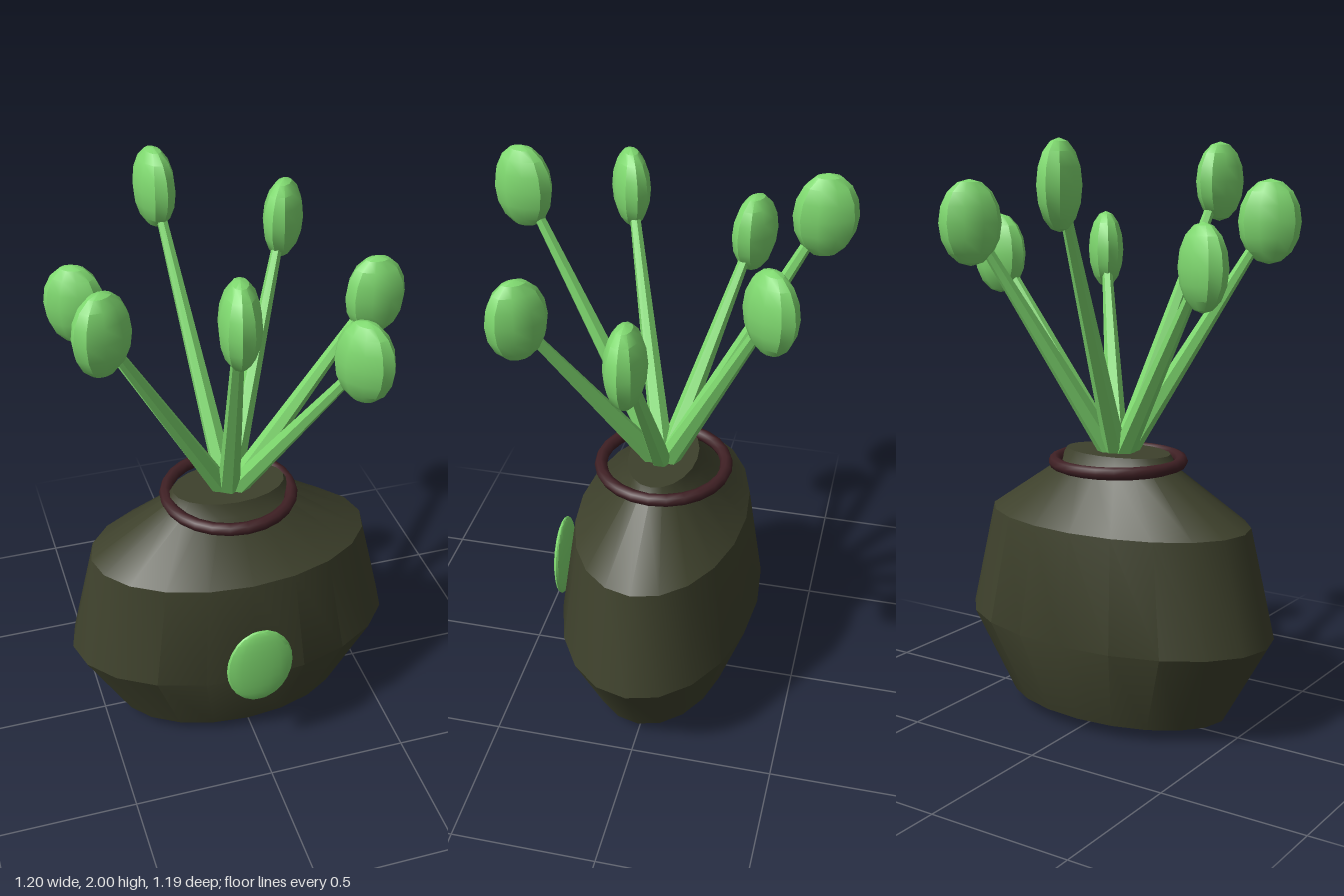
import * as THREE from 'three';
import { toCreasedNormals } from 'three/addons/utils/BufferGeometryUtils.js';

const CENTRE = -0.012;
const CREASE = Math.PI / 6;

function material(name, color) {
  const m = new THREE.MeshStandardMaterial({ color });
  m.name = name;
  return m;
}

// Sphere squashed to the given radii
function ellipsoid(rx, ry, rz, segments, rings) {
  return toCreasedNormals(new THREE.SphereGeometry(1, segments, rings).scale(rx, ry, rz), CREASE);
}

function addMesh(parent, name, geometry, mat) {
  const mesh = new THREE.Mesh(geometry, mat);
  mesh.name = name;
  parent.add(mesh);
  return mesh;
}

export function createModel() {
  const model = new THREE.Group();
  model.name = 'pottedPlant';
  const clay = material('dark olive', 0x3e412c);
  const green = material('leaf green', 0x7fd96f);
  const maroon = material('dark maroon', 0x3f2024);

  // Flattened pot with a closed top
  const profile = [
    [0, 0.005], [0.425, 0.05], [0.59, 0.34], [0.5, 0.72], [0.23, 0.9], [0.2, 0.95], [0, 0.95],
  ].map(([x, y]) => new THREE.Vector2(x, y));
  const potGeometry = new THREE.LatheGeometry(profile, 20).scale(1, 1, 0.6);
  addMesh(model, 'pot', toCreasedNormals(potGeometry, CREASE), clay).position.x = CENTRE;

  // Round cord about the neck
  const ring = new THREE.TorusGeometry(0.22, 0.022, 8, 24).rotateX(Math.PI / 2);
  addMesh(model, 'neckRing', ring, maroon).position.set(CENTRE, 0.914, 0);

  // Oval badge standing just off the front
  addMesh(model, 'frontOval', ellipsoid(0.12, 0.16, 0.024, 20, 12), green)
    .position.set(CENTRE, 0.427, 0.38);

  // Seven tapering stems, each with a flattened leaf facing outward
  const heights = [1.61, 1.735, 1.86];
  const root = new THREE.Vector3(CENTRE, 0.9, 0);
  const leafGeometry = ellipsoid(0.105, 0.14, 0.065, 10, 8);
  const up = new THREE.Vector3(0, 1, 0);
  for (let i = 0; i < 7; i++) {
    const angle = (i / 7) * Math.PI * 2;
    const tip = new THREE.Vector3(
      CENTRE + 0.505 * Math.cos(angle), heights[i % 3], -0.505 * Math.sin(angle));
    const along = tip.clone().sub(root);

    const stemGeometry = toCreasedNormals(
      new THREE.CylinderGeometry(0.016, 0.04, along.length(), 6), CREASE);
    const stem = addMesh(model, `stem${i + 1}`, stemGeometry, green);
    stem.position.copy(root).addScaledVector(along, 0.5);
    stem.quaternion.setFromUnitVectors(up, along.normalize());

    const leaf = addMesh(model, `leaf${i + 1}`, leafGeometry, green);
    leaf.position.copy(tip);
    leaf.rotation.y = angle;
  }
  return model;
}
